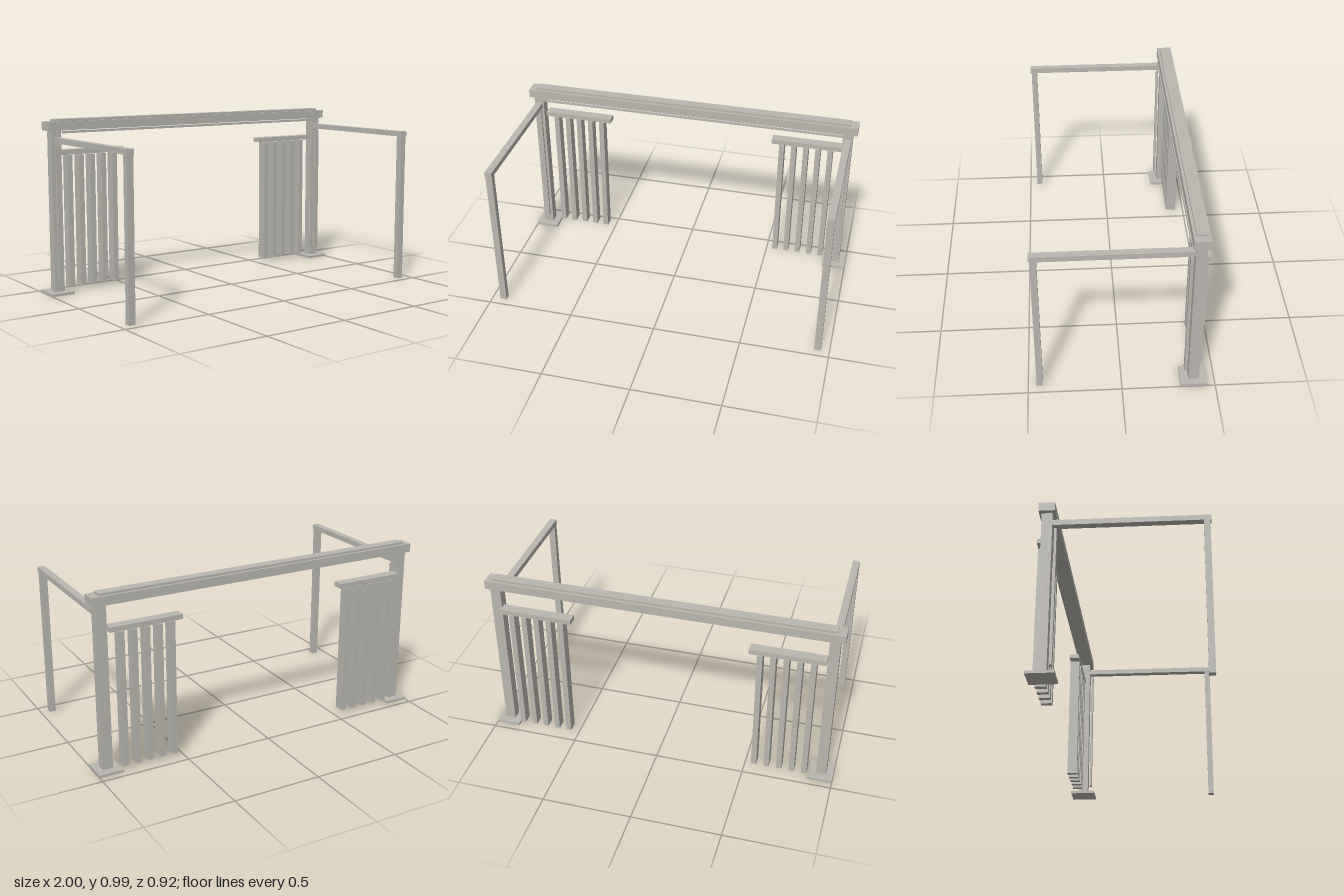
import * as THREE from 'three';

const steel = new THREE.MeshStandardMaterial({ color: 0xbab7b0 });
steel.name = 'warmGrey';

// Box given by its extents on each axis
function slab(name, [x0, x1], [y0, y1], [z0, z1]) {
  const mesh = new THREE.Mesh(new THREE.BoxGeometry(x1 - x0, y1 - y0, z1 - z0), steel);
  mesh.position.set((x0 + x1) / 2, (y0 + y1) / 2, (z0 + z1) / 2);
  mesh.name = name;
  return mesh;
}

// One end of the frame; side is +1 for left, -1 for right
function createSide(side) {
  const group = new THREE.Group();
  group.name = side > 0 ? 'leftSide' : 'rightSide';
  const add = (name, x, y, z) => {
    const xs = side > 0 ? x : [-x[1], -x[0]];
    group.add(slab(name, xs, y, z));
  };

  // Rear post with its foot plate and front guide strip
  add('footPlate', [0.863, 1], [0, 0.015], [-0.461, -0.315]);
  add('rearPost', [0.905, 0.962], [0.015, 0.93], [-0.416, -0.359]);
  add('guideStrip', [0.918, 0.948], [0.068, 0.845], [-0.35, -0.337]);

  // Front leg and the rail joining it to the post
  add('frontLeg', [0.914, 0.952], [0, 0.86], [0.421, 0.455]);
  add('sideRail', [0.913, 0.953], [0.86, 0.89], [-0.36, 0.461]);

  // Deep slats hanging from a header behind the frame
  add('slatHeader', [0.494, 0.903], [0.787, 0.814], [-0.446, -0.387]);
  for (let i = 0; i < 5; i++) {
    const x = 0.554 + i * 0.0713;
    add('slat', [x - 0.015, x + 0.015], [0.025, 0.783], [-0.446, -0.387]);
  }
  return group;
}

export function createModel() {
  const model = new THREE.Group();
  model.name = 'gantryFrame';
  model.add(createSide(1), createSide(-1));

  // Crossbeam with a cap on top and a thin trim below its front edge
  model.add(
    slab('crossbeam', [-0.987, 0.987], [0.928, 0.977], [-0.43, -0.344]),
    slab('beamCap', [-0.943, 0.943], [0.977, 0.99], [-0.416, -0.359]),
    slab('beamTrim', [-0.909, 0.909], [0.912, 0.925], [-0.346, -0.338]),
  );
  return model;
}
